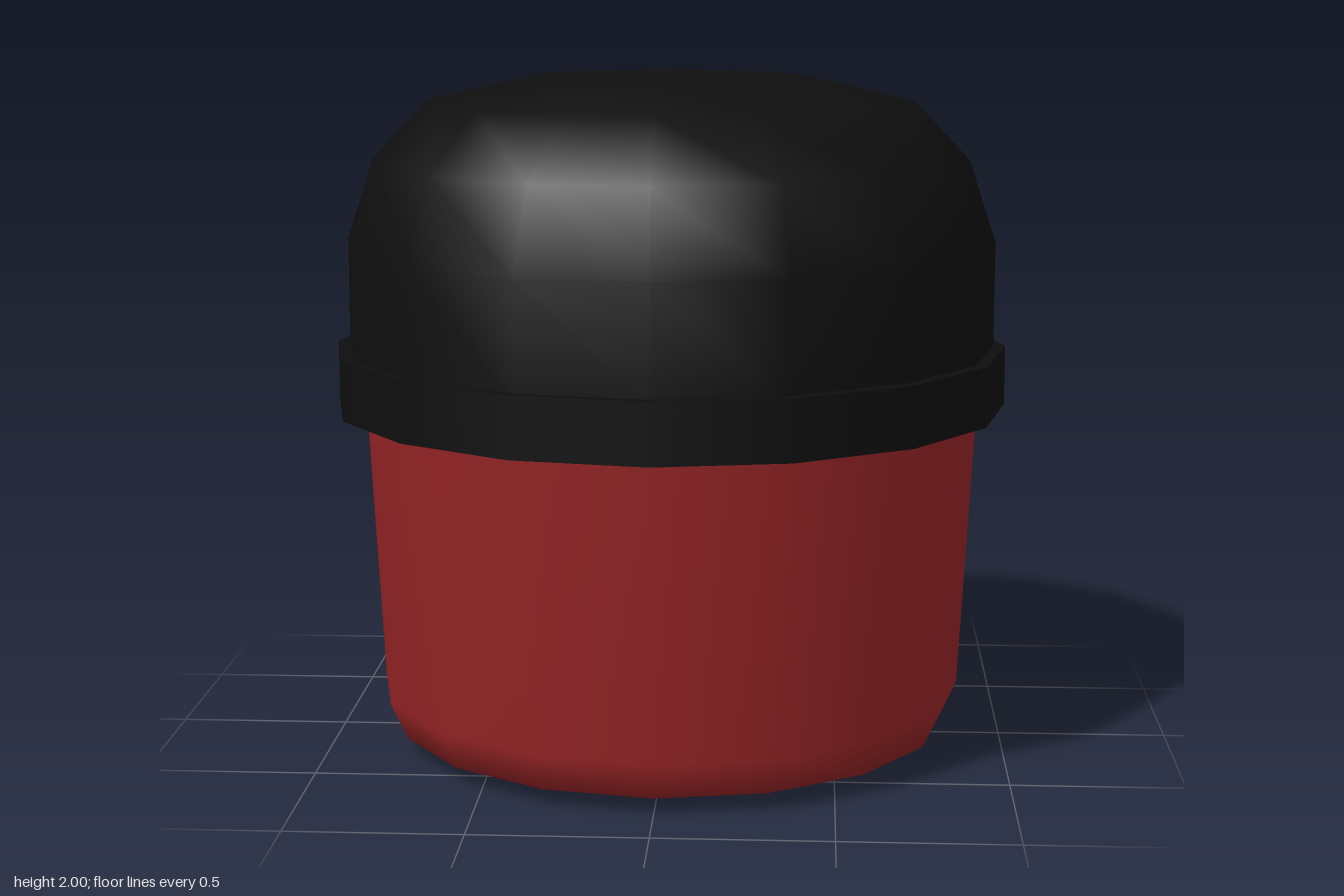
import * as THREE from 'three';

const SIDES = 16;

// Closed ring shape turned from [radius, height] points, listed bottom to top
function turned(name, points, material) {
  const profile = points.map(([r, y]) => new THREE.Vector2(r, y));
  const mesh = new THREE.Mesh(new THREE.LatheGeometry(profile, SIDES), material);
  mesh.name = name;
  return mesh;
}

// Thin plate cut from an outline and curved around the back of the body
function curvedPlate(name, outline, material) {
  const geometry = new THREE.ExtrudeGeometry(new THREE.Shape(outline), { depth: 0.009, bevelEnabled: false });
  const p = geometry.attributes.position;
  for (let i = 0; i < p.count; i++) {
    const x = p.getX(i);
    p.setZ(i, p.getZ(i) - 0.884 + 0.065 * (x / 0.44) ** 2);
  }
  geometry.computeVertexNormals();
  const mesh = new THREE.Mesh(geometry, material);
  mesh.name = name;
  return mesh;
}

export function createModel() {
  const red = new THREE.MeshStandardMaterial({ color: 0x932325 });
  red.name = 'dark red';
  const black = new THREE.MeshStandardMaterial({ color: 0x0e0e0e });
  black.name = 'black';

  const model = new THREE.Group();
  model.name = 'cappedHead';

  // Tapered body with a rounded foot
  model.add(turned('body', [[0, 0], [0.36, 0], [0.82, 0.05], [0.87, 0.16], [0.916, 1.03]], red));

  // Cap: domed crown over a wider band
  model.add(turned('capCrown', [[0.96, 1.17], [0.96, 1.5], [0.88, 1.74], [0.72, 1.91], [0.42, 1.98], [0, 2]], black));
  model.add(turned('capBandUnderside', [[0.9, 1.015], [0.995, 1.015]], black));
  model.add(turned('capBand', [[0.995, 1.015], [0.995, 1.19]], black));
  model.add(turned('capBandTop', [[0.995, 1.19], [0.95, 1.19]], black));

  // Smile: an arc, thicker in the middle
  const upper = [], lower = [];
  const steps = 20;
  for (let i = 0; i <= steps; i++) {
    const t = (i / steps) * 2 - 1;
    const mid = new THREE.Vector2(0.44 * t, 0.165 + 0.285 * t * t);
    const normal = new THREE.Vector2(-0.57 * t, 0.44).normalize();
    const half = 0.027 - 0.009 * t * t;
    lower.push(mid.clone().addScaledVector(normal, -half));
    upper.push(mid.clone().addScaledVector(normal, half));
  }
  const smile = new THREE.Group();
  smile.name = 'smile';
  smile.add(curvedPlate('smileArc', [...lower, ...upper.reverse()], black));

  // Short cheek bar across each end of the smile
  for (const s of [-1, 1]) {
    const bar = [[0.375, 0.465], [0.475, 0.395], [0.497, 0.425], [0.397, 0.492]]
      .map(([x, y]) => new THREE.Vector2(s * x, y));
    smile.add(curvedPlate(s > 0 ? 'leftCheekBar' : 'rightCheekBar', bar, black));
  }
  model.add(smile);
  return model;
}
